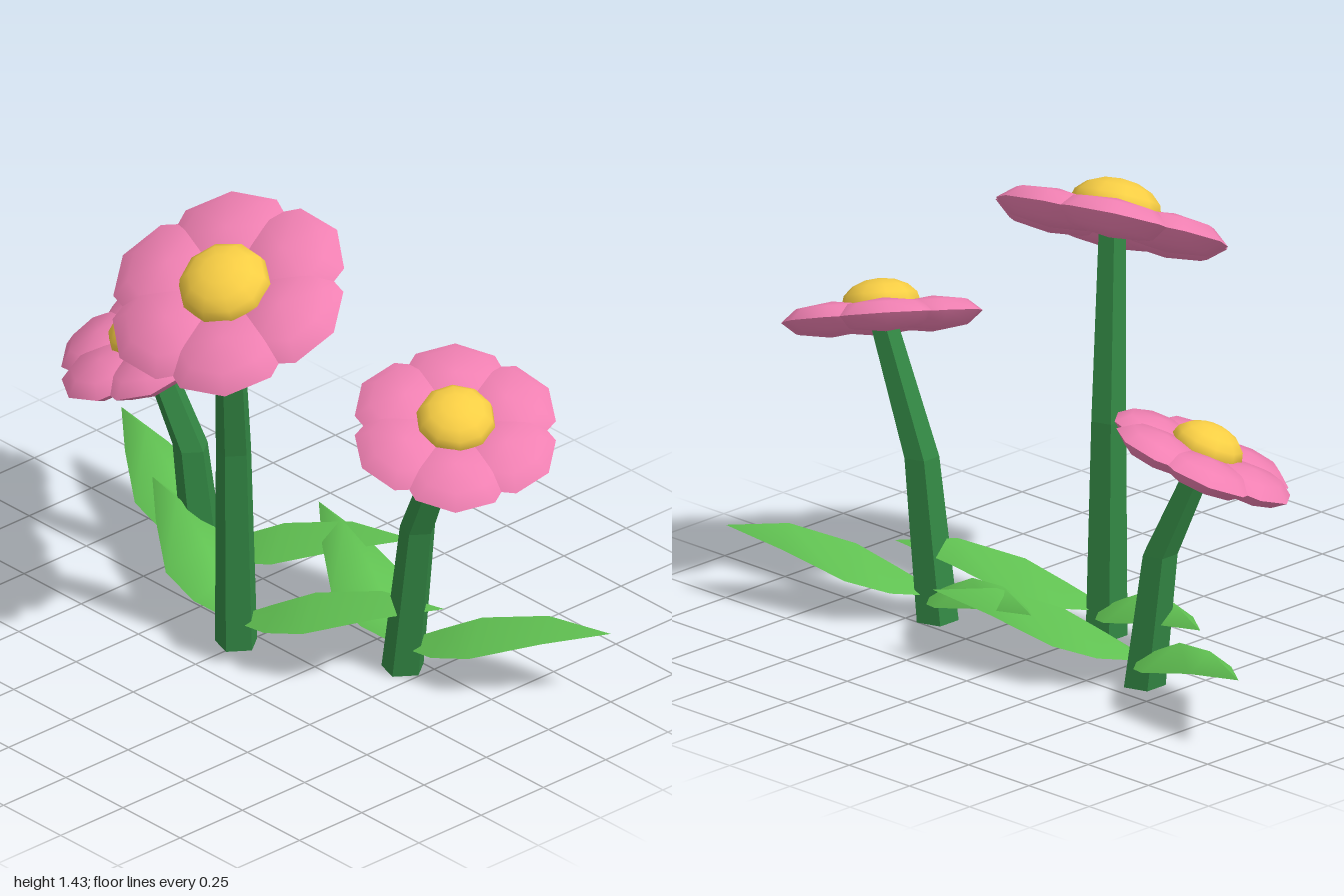
import * as THREE from 'three';
import { toCreasedNormals } from 'three/addons/utils/BufferGeometryUtils.js';

const petalMat = new THREE.MeshStandardMaterial({ color: 0xf080b2 });
const centreMat = new THREE.MeshStandardMaterial({ color: 0xf8ce44 });
const stemMat = new THREE.MeshStandardMaterial({ color: 0x328643, flatShading: true });
const leafMat = new THREE.MeshStandardMaterial({ color: 0x61c252, side: THREE.DoubleSide });

const UP = new THREE.Vector3(0, 1, 0);

// base, bend and head are points on the stem; normal is the way the bloom faces
const FLOWERS = [
  { name: 'middle', base: [-0.015, 0, 0.07], bend: [0, 0.67, 0.095], head: [0.062, 1.25, 0.175],
    normal: [0.16, 1, 0.5], size: 0.99, turn: 13 },
  { name: 'right', base: [-0.39, 0, -0.15], bend: [-0.435, 0.42, -0.13], head: [-0.565, 0.74, -0.08],
    normal: [-0.24, 1, 0.36], size: 0.79, turn: 18 },
  { name: 'left', base: [0.43, 0, -0.19], bend: [0.495, 0.5, -0.19], head: [0.652, 0.898, -0.195],
    normal: [0.34, 1, 0.25], size: 0.84, turn: 18 },
];

function mesh(name, geometry, material) {
  const m = new THREE.Mesh(geometry, material);
  m.name = name;
  return m;
}

// Five-sided stem with one bend, tapering upward
function makeStem({ base, bend, head }) {
  const rings = [base, bend, head];
  const radii = [0.066, 0.055, 0.043];
  const geo = new THREE.CylinderGeometry(1, 1, 2, 5, 2, false, Math.PI / 2);
  const p = geo.attributes.position;
  for (let i = 0; i < p.count; i++) {
    const k = Math.round(p.getY(i) + 1);
    const [x, y, z] = rings[k];
    p.setXYZ(i, x + p.getX(i) * radii[k], y, z + p.getZ(i) * radii[k]);
  }
  geo.computeVertexNormals();
  return mesh('stem', geo, stemMat);
}

// Arched leaf along +x, folded down on both sides of a raised midrib
function makeLeaf(length, angle) {
  // fraction of length, half width, midrib height, drop of the edges
  const stations = [
    [0, 0.02, 0.09, 0.01], [0.18, 0.09, 0.15, 0.05], [0.38, 0.125, 0.213, 0.075],
    [0.7, 0.07, 0.256, 0.06], [1, 0, 0.23, 0],
  ];
  const pos = [], index = [];
  stations.forEach(([t, w, y, drop], i) => {
    const x = t * length;
    pos.push(x, y - drop, w, x, y, 0, x, y - drop, -w);
    if (i === 0) return;
    for (let j = 0; j < 2; j++) {
      const a = (i - 1) * 3 + j, b = a + 3;
      index.push(a, b, a + 1, b, b + 1, a + 1);
    }
  });
  const geo = new THREE.BufferGeometry();
  geo.setAttribute('position', new THREE.Float32BufferAttribute(pos, 3));
  geo.setIndex(index);
  geo.computeVertexNormals();
  const leaf = mesh('leaf', geo, leafMat);
  leaf.rotation.y = angle;
  return leaf;
}

// Six broad petals with a sharp rim around a domed centre
function makeBloom({ head, normal, size, turn }) {
  const bloom = new THREE.Group();
  bloom.name = 'bloom';
  const petalGeo = toCreasedNormals(
    new THREE.SphereGeometry(1, 8, 4).scale(0.175, 0.06, 0.198).translate(0.205, 0, 0), 1);
  for (let i = 0; i < 6; i++) {
    const petal = mesh('petal', petalGeo, petalMat);
    petal.rotation.y = THREE.MathUtils.degToRad(turn + i * 60);
    bloom.add(petal);
  }
  const centreGeo = new THREE.SphereGeometry(1, 10, 8).scale(0.142, 0.09, 0.142).translate(0, 0.047, 0);
  bloom.add(mesh('flowerCentre', centreGeo, centreMat));
  bloom.position.set(...head);
  bloom.scale.setScalar(size);
  bloom.quaternion.setFromUnitVectors(UP, new THREE.Vector3(...normal).normalize());
  return bloom;
}

export function createModel() {
  const group = new THREE.Group();
  group.name = 'flowers';
  for (const f of FLOWERS) {
    const flower = new THREE.Group();
    flower.name = f.name + 'Flower';
    flower.add(makeStem(f), makeBloom(f));
    // Two leaves per plant, spreading sideways and back
    for (const [dx, dz] of [[-0.61, -0.22], [0.57, -0.31]]) {
      const leaf = makeLeaf(Math.hypot(dx, dz), Math.atan2(-dz, dx));
      leaf.position.set(...f.base);
      flower.add(leaf);
    }
    group.add(flower);
  }
  return group;
}
